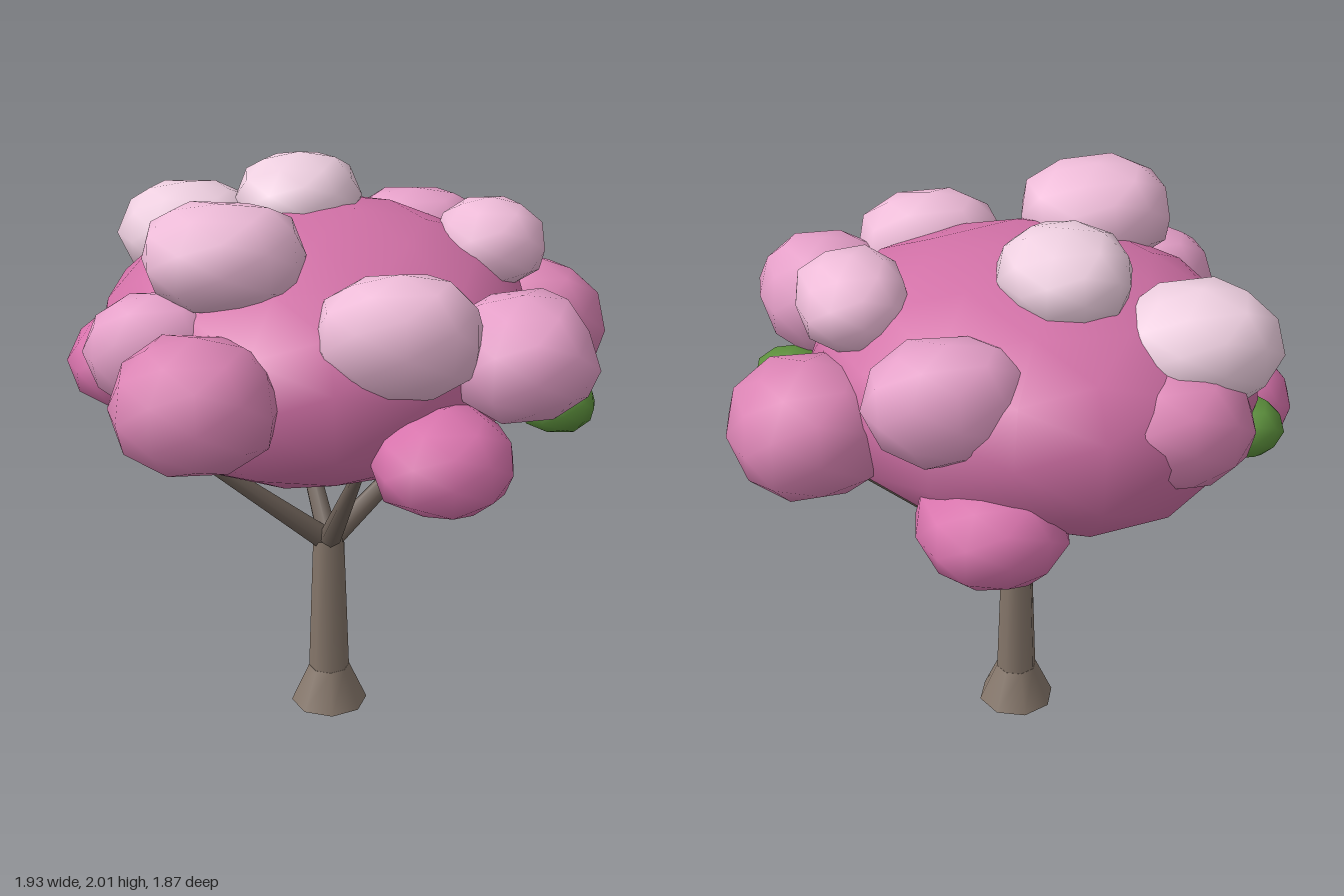
import * as THREE from 'three';
import { mergeVertices } from 'three/addons/utils/BufferGeometryUtils.js';

const COLORS = {
  bark: 0x85766a, branch: 0x70635a, core: 0xd271a7, deep: 0xd873ac, rose: 0xdb84b4,
  mid: 0xe6a0c9, light: 0xefbcd9, pale: 0xefd0e1, leaf: 0x5c8f3c,
};
const materials = {};
for (const key in COLORS) materials[key] = new THREE.MeshStandardMaterial({ color: COLORS[key] });

function seeded(seed) {
  let s = seed * 7919 + 17;
  return () => (s = (s * 16807) % 2147483647) / 2147483647;
}

const bulge = (v, e) => Math.sign(v) * Math.abs(v) ** e;

// Smooth low-poly ellipsoid with uneven vertices; exponents below 1 make it
// fuller, above 1 more pointed: x and upper y, underside, and z
function blobGeometry([rx, ry, rz], detail, wobble, seed, round, under, ends) {
  let g = new THREE.IcosahedronGeometry(1, detail);
  g.deleteAttribute('uv');
  g.deleteAttribute('normal');
  g = mergeVertices(g, 1e-4);
  const rand = seeded(seed);
  for (let i = 0; i < 5; i++) rand();
  const p = g.attributes.position;
  for (let i = 0; i < p.count; i++) {
    const k = 1 + (rand() - 0.5) * wobble;
    const y = p.getY(i);
    p.setXYZ(i, bulge(p.getX(i), round) * rx * k, bulge(y, y < 0 ? under : round) * ry * k,
      bulge(p.getZ(i), ends) * rz * k);
  }
  g.computeVertexNormals();
  return g;
}

// Tapered limb between two points
function limb(name, from, to, r0, r1, sides, material) {
  const a = new THREE.Vector3(...from), b = new THREE.Vector3(...to);
  const dir = b.clone().sub(a);
  const mesh = new THREE.Mesh(new THREE.CylinderGeometry(r1, r0, dir.length(), sides), material);
  mesh.position.copy(a).addScaledVector(dir, 0.5);
  mesh.quaternion.setFromUnitVectors(new THREE.Vector3(0, 1, 0), dir.normalize());
  mesh.name = name;
  return mesh;
}

export function createModel() {
  const tree = new THREE.Group();
  tree.name = 'blossomTree';
  const X = -0.055, Z = -0.01;

  function addBlob(name, color, pos, geometry) {
    const mesh = new THREE.Mesh(geometry, materials[color]);
    mesh.name = name;
    mesh.position.set(...pos);
    tree.add(mesh);
    return mesh;
  }

  // Trunk with flared foot
  tree.add(limb('trunkFoot', [X, 0, Z], [X, 0.145, Z], 0.14, 0.075, 8, materials.bark));
  tree.add(limb('trunk', [X, 0.12, Z], [X, 0.69, Z], 0.075, 0.055, 8, materials.bark));

  // Four branches spreading into the crown
  const tips = [[0.53, 1.18, -0.2], [-0.6, 1.12, 0.12], [-0.19, 1.21, -0.5], [0.01, 1.07, 0.39]];
  for (const tip of tips) {
    tree.add(limb('branch', [X, 0.65, Z], tip, 0.042, 0.02, 6, materials.branch));
  }

  // Main crown with a flattened underside, tilted slightly down to front and right
  const crown = addBlob('crown', 'core', [-0.095, 1.445, -0.07],
    blobGeometry([0.75, 0.425, 0.86], 2, 0.03, 3, 1, 0.68, 1.08));
  crown.rotation.set(0.04, 0, 0.04);

  // Blossom clusters: colour, centre, radii
  const clusters = [
    ['pale', [-0.51, 1.675, -0.52], [0.26, 0.18, 0.26]],
    ['pale', [-0.13, 1.85, -0.3], [0.215, 0.15, 0.26]],
    ['light', [-0.415, 1.81, 0.31], [0.265, 0.175, 0.255]],
    ['mid', [0.315, 1.61, -0.6], [0.265, 0.19, 0.205]],
    ['light', [0.51, 1.735, -0.075], [0.185, 0.15, 0.235]],
    ['rose', [0.695, 1.39, -0.26], [0.27, 0.225, 0.275]],
    ['mid', [0.52, 1.52, 0.51], [0.24, 0.205, 0.275]],
    ['light', [0.12, 1.615, 0.59], [0.275, 0.205, 0.21]],
    ['rose', [-0.51, 1.445, 0.67], [0.27, 0.215, 0.265]],
    ['deep', [0.25, 1.245, 0.69], [0.23, 0.165, 0.25]],
    ['mid', [-0.63, 1.52, 0.35], [0.235, 0.19, 0.19]],
    ['deep', [-0.72, 1.3, -0.21], [0.24, 0.165, 0.24]],
    ['rose', [-0.38, 1.49, -0.66], [0.26, 0.2, 0.25]],
    ['deep', [0.2, 1.2, -0.69], [0.235, 0.17, 0.25]],
  ];
  clusters.forEach(([color, pos, radii], i) => {
    addBlob('blossomCluster', color, pos, blobGeometry(radii, 1, 0.1, i + 11, 0.9, 0.9, 0.9));
  });

  // Green leaf tufts
  [[0.68, 1.29, 0.33], [-0.7, 1.33, -0.47]].forEach((pos, i) => {
    addBlob('leafTuft', 'leaf', pos, blobGeometry([0.13, 0.095, 0.135], 1, 0.08, i + 41, 0.9, 0.9, 0.9));
  });

  return tree;
}
